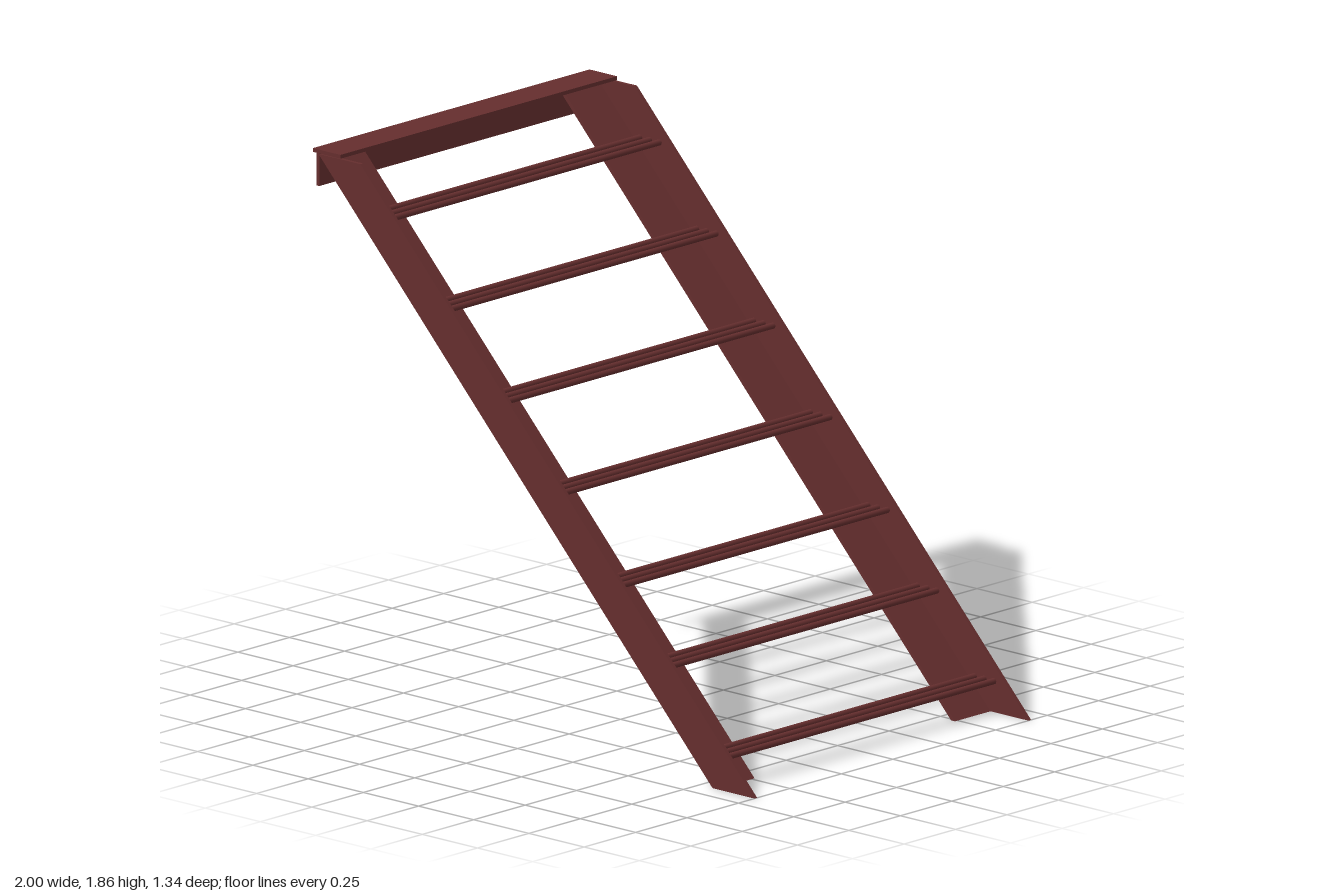
import * as THREE from 'three';

export function createModel() {
  const model = new THREE.Group();
  model.name = 'steelLadder';
  const steel = new THREE.MeshStandardMaterial({ color: 0x652e2e });
  steel.name = 'oxideRedSteel';

  const height = 1.845, run = -1.785; // slope of the stringers
  const halfWidth = 0.672, wall = 0.013;

  const add = (geometry, name, parent = model) => {
    const mesh = new THREE.Mesh(geometry, steel);
    mesh.name = name;
    parent.add(mesh);
    return mesh;
  };

  // Sloping bar with level ends, spanning x0..x1 at the floor and z0..z1 across
  const slopedBar = (x0, x1, z0, z1) => {
    const shape = new THREE.Shape([
      new THREE.Vector2(x0, 0), new THREE.Vector2(x1, 0),
      new THREE.Vector2(x1 + run, height), new THREE.Vector2(x0 + run, height),
    ]);
    return new THREE.ExtrudeGeometry(shape, { depth: z1 - z0, bevelEnabled: false }).translate(0, 0, z0);
  };

  // Angle-section stringers: upright web outside, flange along the lower edge inside
  for (const side of [1, -1]) {
    const stringer = new THREE.Group();
    stringer.name = side > 0 ? 'frontStringer' : 'backStringer';
    const span = (a, b) => (side > 0 ? [a, b] : [-b, -a]);
    add(slopedBar(0.81, 1, ...span(halfWidth - wall, halfWidth)), 'web', stringer);
    add(slopedBar(0.81, 0.828, ...span(0.487, halfWidth - wall)), 'flange', stringer);
    model.add(stringer);
  }

  // Rungs: three parallel round rods each
  const rungs = [[0.8, 0.107], [0.542, 0.37], [0.318, 0.605], [0.058, 0.875],
    [-0.2, 1.141], [-0.457, 1.409], [-0.715, 1.674]];
  rungs.forEach(([x, y], i) => {
    const rung = new THREE.Group();
    rung.name = `rung${i + 1}`;
    for (const offset of [-0.044, 0, 0.044]) {
      const rod = new THREE.CylinderGeometry(0.0105, 0.0105, 2 * (halfWidth - wall), 12).rotateX(Math.PI / 2);
      add(rod, 'rod', rung).position.set(x + offset, y, 0);
    }
    model.add(rung);
  });

  // Angle-section landing bracket across the top
  const bracket = new THREE.Group();
  bracket.name = 'topBracket';
  add(new THREE.BoxGeometry(0.125, 0.013, 2 * halfWidth), 'topPlate', bracket).position.set(-0.9375, 1.8535, 0);
  add(new THREE.BoxGeometry(0.012, 0.112, 2 * halfWidth), 'hangingPlate', bracket).position.set(-0.977, 1.791, 0);
  model.add(bracket);

  return model;
}
